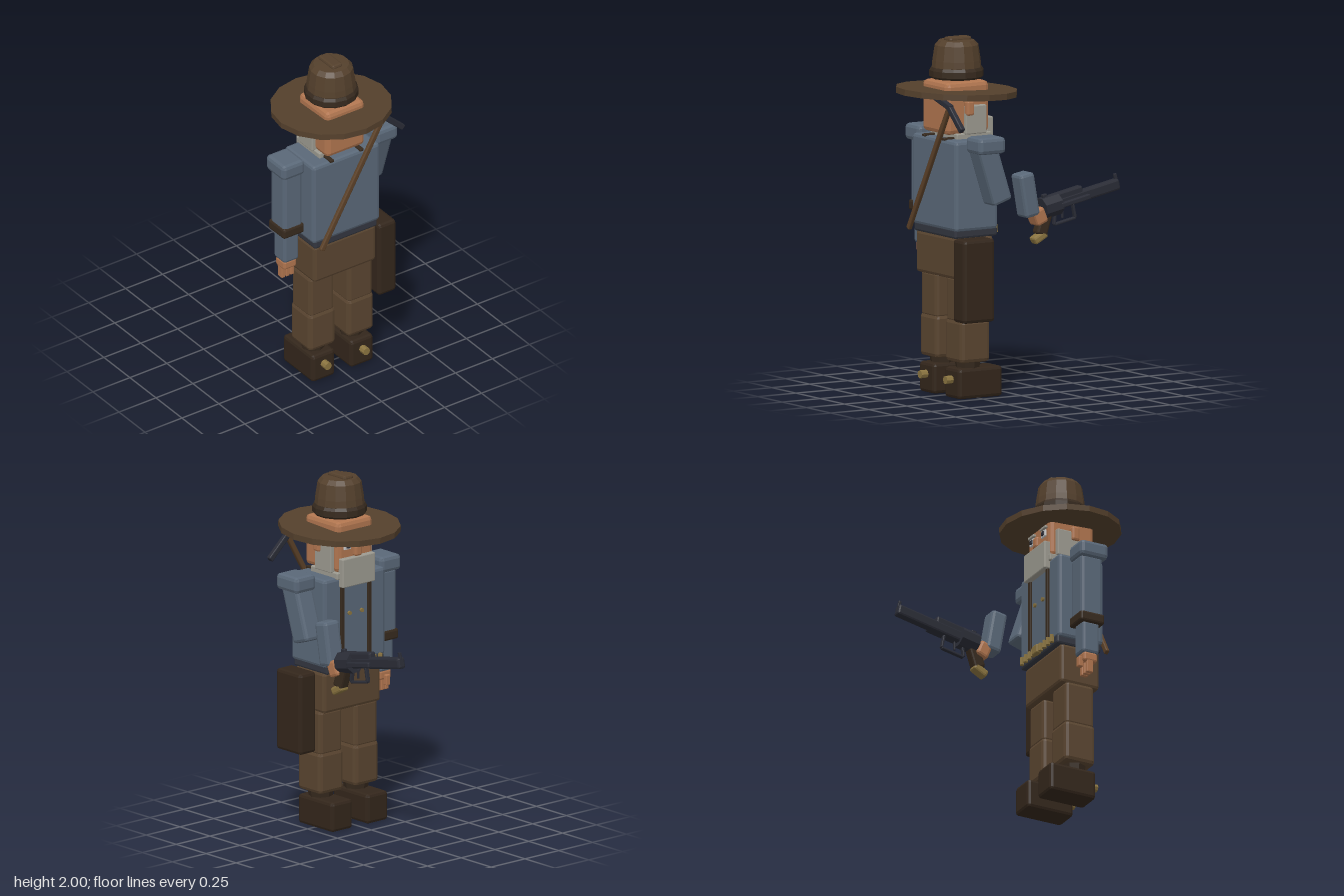
import * as THREE from 'three';
import { RoundedBoxGeometry } from 'three/addons/geometries/RoundedBoxGeometry.js';

const mat = (color) => new THREE.MeshStandardMaterial({ color, flatShading: true });
const M = {
  shirt: mat(0x5a6878), cloth: mat(0x5a4530), boot: mat(0x33261b), hat: mat(0x54402c), band: mat(0x372a1e),
  skin: mat(0xb0754f), beard: mat(0x9c9a90), steel: mat(0x2a2c36), belt: mat(0x33363f), gold: mat(0x8a7440),
  strap: mat(0x5c4128), eye: mat(0xdddddd),
};

export function createModel() {
  const root = new THREE.Group();

  const group = (name, parent = root) => {
    const g = new THREE.Group();
    g.name = name;
    parent.add(g);
    return g;
  };
  const add = (parent, name, geometry, material, x = 0, y = 0, z = 0) => {
    const m = new THREE.Mesh(geometry, material);
    m.name = name;
    m.position.set(x, y, z);
    parent.add(m);
    return m;
  };
  // Chamfered box given by its extents on each axis
  const block = (parent, name, material, [x0, x1], [y0, y1], [z0, z1], bevel = 0.012) => {
    const w = x1 - x0, h = y1 - y0, d = z1 - z0;
    const r = Math.min(bevel, Math.min(w, h, d) * 0.3);
    return add(parent, name, new RoundedBoxGeometry(w, h, d, 1, r), material,
      (x0 + x1) / 2, (y0 + y1) / 2, (z0 + z1) / 2);
  };
  // Chamfered bar running from point a to point b
  const bar = (parent, name, material, a, b, w, d, bevel = 0.015) => {
    const p = new THREE.Vector3(...a), q = new THREE.Vector3(...b);
    const dir = q.clone().sub(p), len = dir.length();
    const mid = p.add(q).multiplyScalar(0.5);
    const m = add(parent, name, new RoundedBoxGeometry(w, len, d, 1, Math.min(bevel, w * 0.3, d * 0.3)), material, mid.x, mid.y, mid.z);
    m.quaternion.setFromUnitVectors(new THREE.Vector3(0, 1, 0), dir.normalize());
    return m;
  };

  // Hat: tilted brim, floating tapered crown, band and ridge
  const hat = group('hat');
  const brim = add(hat, 'brim', new THREE.CylinderGeometry(0.34, 0.34, 0.034, 16), M.hat, 0, 1.695, 0.265);
  brim.rotation.x = -0.045;
  const crown = [[0, 1.79], [0.142, 1.79], [0.135, 1.87], [0.122, 1.955], [0.1, 1.98], [0, 1.985]];
  add(hat, 'crown', new THREE.LatheGeometry(crown.map((p) => new THREE.Vector2(...p)), 14), M.hat, 0, 0, 0.265);
  const band = [[0, 1.77], [0.14, 1.77], [0.152, 1.782], [0.152, 1.815], [0.142, 1.832], [0, 1.832]];
  add(hat, 'hatBand', new THREE.LatheGeometry(band.map((p) => new THREE.Vector2(...p)), 14), M.band, 0, 0, 0.265);
  block(hat, 'crownRidge', M.hat, [-0.035, 0.035], [1.96, 2], [0.185, 0.33]);

  // Head, with the face toward -z
  const head = group('head');
  block(head, 'skull', M.skin, [-0.13, 0.13], [1.47, 1.76], [0.13, 0.41], 0.025);
  block(head, 'nose', M.skin, [-0.025, 0.025], [1.555, 1.62], [0.1, 0.14]);
  block(head, 'chinBeard', M.beard, [-0.12, 0.12], [1.39, 1.555], [0.1, 0.14], 0.006);
  block(head, 'collar', M.beard, [-0.14, 0.14], [1.435, 1.475], [0.125, 0.35], 0.006);
  for (const s of [-1, 1]) {
    const side = (a, b) => [s * a, s * b].sort((u, v) => u - v);
    block(head, 'ear', M.skin, side(0.125, 0.168), [1.575, 1.66], [0.25, 0.3]);
    block(head, 'sideBeard', M.beard, side(0.12, 0.155), [1.47, 1.63], [0.165, 0.3], 0.006);
    block(head, 'eye', M.eye, side(0.04, 0.09), [1.6, 1.64], [0.12, 0.14], 0.003);
    block(head, 'pupil', M.steel, side(0.053, 0.077), [1.608, 1.632], [0.113, 0.125], 0.003);
    block(head, 'eyebrow', M.beard, side(0.035, 0.1), [1.645, 1.66], [0.115, 0.14], 0.003);
  }

  // Torso, belt, hips and braces
  const torso = group('torso');
  block(torso, 'shirt', M.shirt, [-0.226, 0.226], [0.94, 1.445], [0.135, 0.415], 0.018);
  block(torso, 'belt', M.belt, [-0.212, 0.212], [0.9, 0.955], [0.13, 0.41]);
  block(torso, 'hips', M.cloth, [-0.21, 0.21], [0.67, 0.905], [0.155, 0.4], 0.018);
  for (const s of [-1, 1]) {
    block(torso, 'brace', M.band, [s * 0.1 - 0.013, s * 0.1 + 0.013], [0.94, 1.45], [0.122, 0.14], 0.004);
    block(torso, 'braceTop', M.band, [s * 0.1 - 0.013, s * 0.1 + 0.013], [1.44, 1.455], [0.122, 0.42], 0.004);
    const button = add(torso, 'button', new THREE.CylinderGeometry(0.012, 0.012, 0.016, 8), M.gold, s * 0.045, 1.23, 0.131);
    button.rotation.x = Math.PI / 2;
  }
  for (let i = -4; i <= 4; i++) {
    if (i) add(torso, 'cartridge', new THREE.CylinderGeometry(0.012, 0.014, 0.045, 6), M.gold, i * 0.043, 0.937, 0.118);
  }
  block(torso, 'buckle', M.gold, [-0.028, 0.028], [0.91, 0.962], [0.1, 0.135], 0.006);

  // Holster on the hip
  block(root, 'holster', M.boot, [0.21, 0.33], [0.44, 0.905], [0.22, 0.425], 0.018);

  // Legs and boots with spurs
  for (const s of [-1, 1]) {
    const leg = group('leg');
    leg.position.x = s * 0.13;
    block(leg, 'thigh', M.cloth, [-0.083, 0.083], [0.42, 0.68], [0.185, 0.365], 0.02);
    block(leg, 'shin', M.cloth, [-0.088, 0.088], [0.2, 0.44], [0.18, 0.37], 0.022);
    add(leg, 'ankle', new THREE.CylinderGeometry(0.075, 0.065, 0.06, 8), M.band, 0, 0.185, 0.275);
    block(leg, 'boot', M.boot, [-0.077, 0.077], [0, 0.17], [0.092, 0.38], 0.018);
    const spur = add(leg, 'spur', new THREE.CylinderGeometry(0.023, 0.023, 0.045, 8), M.gold, 0, 0.105, 0.4);
    spur.rotation.x = Math.PI / 2;
  }

  // Relaxed arm, hanging down
  const arm = group('relaxedArm');
  block(arm, 'shoulder', M.shirt, [-0.39, -0.24], [1.385, 1.478], [0.185, 0.36], 0.022);
  block(arm, 'sleeve', M.shirt, [-0.366, -0.242], [1.02, 1.4], [0.2, 0.335], 0.018);
  block(arm, 'armBand', M.band, [-0.375, -0.235], [0.99, 1.05], [0.192, 0.343]);
  block(arm, 'cuff', M.shirt, [-0.355, -0.255], [0.81, 1.0], [0.215, 0.32], 0.015);
  block(arm, 'palm', M.skin, [-0.35, -0.265], [0.76, 0.815], [0.225, 0.31]);
  for (let i = 0; i < 3; i++) {
    const x = -0.348 + i * 0.03;
    block(arm, 'finger', M.skin, [x, x + 0.025], [0.695, 0.775], [0.245, 0.285], 0.005);
  }
  block(arm, 'thumb', M.skin, [-0.325, -0.295], [0.73, 0.79], [0.205, 0.235], 0.005);

  // Raised arm, with a gap at the elbow
  const gunArm = group('gunArm');
  block(gunArm, 'shoulder', M.shirt, [0.24, 0.39], [1.385, 1.478], [0.185, 0.36], 0.022);
  bar(gunArm, 'upperArm', M.shirt, [0.303, 1.43, 0.29], [0.303, 1.105, 0.185], 0.124, 0.125, 0.018);
  bar(gunArm, 'forearm', M.shirt, [0.305, 1.255, 0.028], [0.305, 1.01, -0.015], 0.11, 0.095, 0.018);
  bar(gunArm, 'hand', M.skin, [0.305, 1.05, -0.05], [0.305, 0.965, -0.085], 0.1, 0.075, 0.015);

  // Revolver, its barrel along local -z and tilted upward
  const gun = group('revolver', gunArm);
  gun.position.set(0.305, 1.045, -0.1);
  gun.rotation.x = 0.2;
  block(gun, 'barrel', M.steel, [-0.026, 0.026], [-0.032, 0.032], [-0.51, -0.03], 0.012);
  block(gun, 'topFrame', M.steel, [-0.024, 0.024], [-0.03, 0.06], [-0.27, -0.02], 0.01);
  const drum = add(gun, 'drum', new THREE.CylinderGeometry(0.062, 0.062, 0.11, 8), M.steel, 0, 0, -0.055);
  drum.rotation.set(Math.PI / 2, Math.PI / 8, 0);
  block(gun, 'ejectorRod', M.steel, [0.035, 0.06], [-0.02, 0.01], [-0.29, -0.1], 0.006);
  block(gun, 'frontSight', M.steel, [-0.008, 0.008], [0.02, 0.06], [-0.51, -0.492], 0.003);
  block(gun, 'hammer', M.steel, [-0.012, 0.012], [0.03, 0.075], [-0.045, -0.015], 0.004);
  const guard = [[-0.08, -0.04], [-0.06, -0.11], [-0.2, -0.11], [-0.2, -0.03]]
    .map(([z, y]) => [0, y, z]);
  for (let i = 0; i < 3; i++) bar(gun, 'triggerGuard', M.steel, guard[i], guard[i + 1], 0.025, 0.014, 0.004);
  bar(gun, 'trigger', M.steel, [0, -0.04, -0.13], [0, -0.09, -0.12], 0.012, 0.012, 0.003);
  bar(gunArm, 'grip', M.band, [0.305, 1.04, -0.13], [0.305, 0.9, -0.085], 0.06, 0.07, 0.012);
  const butt = block(gunArm, 'gripCap', M.gold, [0.275, 0.335], [0.865, 0.91], [-0.125, -0.035]);
  butt.rotation.x = 0.5;

  // Pickaxe slung diagonally behind the back
  const pick = group('pickaxe');
  bar(pick, 'handle', M.strap, [-0.197, 0.915, 0.452], [0.228, 1.655, 0.452], 0.03, 0.024, 0.006);
  bar(pick, 'pickPoint', M.steel, [0.215, 1.65, 0.452], [0.352, 1.525, 0.452], 0.034, 0.03, 0.006);
  bar(pick, 'pickBlade', M.steel, [0.24, 1.64, 0.452], [0.06, 1.69, 0.452], 0.034, 0.03, 0.006);

  return root;
}
